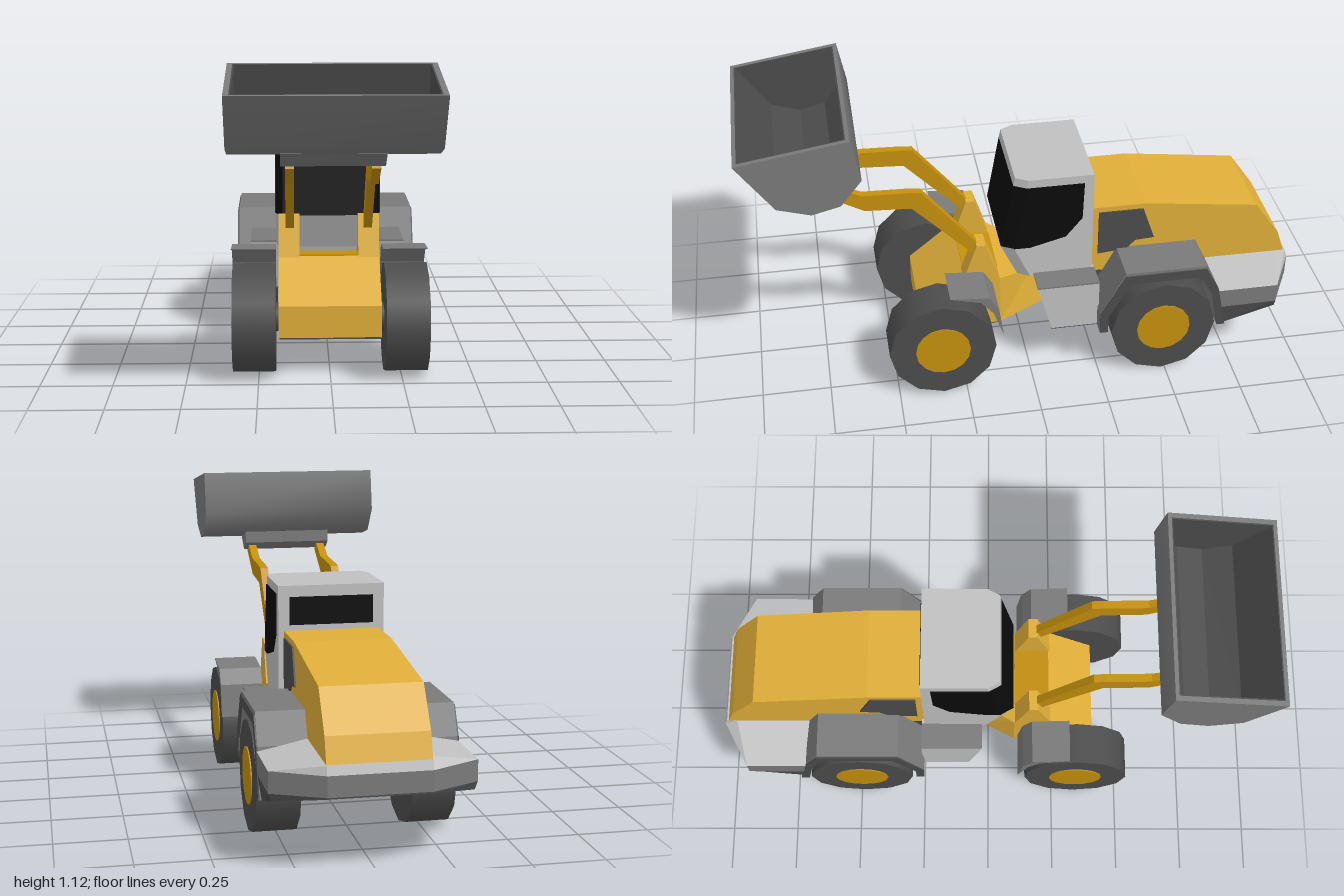
import * as THREE from 'three';
import { toCreasedNormals } from 'three/addons/utils/BufferGeometryUtils.js';

const paint = (name, color) => {
  const m = new THREE.MeshStandardMaterial({ color });
  m.name = name;
  return m;
};

export function createModel() {
  const model = new THREE.Group();
  model.name = 'earthMover';
  const yellow = paint('yellow', 0xdfae38), gold = paint('darkGold', 0xc4900c);
  const light = paint('lightGrey', 0xc0c0c0), grey = paint('midGrey', 0x7a7a7a);
  const dark = paint('darkGrey', 0x4c4c4c), glass = paint('blackGlass', 0x0b0b0b);

  const add = (name, geo, mat) => {
    const mesh = new THREE.Mesh(geo, mat);
    mesh.name = name;
    model.add(mesh);
    return mesh;
  };

  // Side profile of [z, y] points extruded from x0 to x1
  const prismGeo = (pts, x0, x1) => {
    const shape = new THREE.Shape(pts.map(([z, y]) => new THREE.Vector2(z, y)));
    const geo = new THREE.ExtrudeGeometry(shape, { depth: x1 - x0, bevelEnabled: false });
    return geo.rotateY(-Math.PI / 2).translate(x1, 0, 0);
  };
  const prism = (name, pts, x0, x1, mat) => add(name, prismGeo(pts, x0, x1), mat);
  const pair = (name, pts, x0, x1, mat) => {
    prism(name + 'Left', pts, x0, x1, mat);
    prism(name + 'Right', pts, -x1, -x0, mat);
  };

  // Closed skin over stacked rings (counter-clockwise from above), bottom first
  const loft = (name, rings, mats, pick) => {
    const pos = [], geo = new THREE.BufferGeometry(), n = rings[0].length;
    const face = (corners, index) => {
      const start = pos.length / 3;
      for (let k = 1; k < corners.length - 1; k++) pos.push(...corners[0], ...corners[k], ...corners[k + 1]);
      geo.addGroup(start, pos.length / 3 - start, index);
    };
    for (let i = 0; i < rings.length - 1; i++)
      for (let j = 0; j < n; j++) {
        const k = (j + 1) % n;
        face([rings[i][j], rings[i][k], rings[i + 1][k], rings[i + 1][j]], pick(i, j));
      }
    face([...rings[0]].reverse(), pick(0, 0));
    face(rings[rings.length - 1], pick(rings.length - 2, 0));
    geo.setAttribute('position', new THREE.Float32BufferAttribute(pos, 3));
    geo.computeVertexNormals();
    return add(name, geo, mats);
  };

  // Wheels, hubs and axles
  const drum = (r, len, sides) => new THREE.CylinderGeometry(r, r, len, sides).rotateZ(Math.PI / 2);
  for (const [end, z] of [['front', 0.335], ['rear', -0.485]]) {
    for (const [side, s] of [['Left', 1], ['Right', -1]]) {
      add(end + 'Tyre' + side, drum(0.195, 0.15, 12), dark).position.set(s * 0.265, 0.195, z);
      add(end + 'Hub' + side, drum(0.1, 0.006, 16), gold).position.set(s * 0.341, 0.195, z);
    }
    add(end + 'Axle', drum(0.05, 0.4, 10), dark).position.set(0, 0.195, z);
  }

  // Engine hood and its side grilles
  prism('hood', [[-0.24, 0.36], [-0.24, 0.64], [-0.44, 0.64], [-0.86, 0.585], [-0.955, 0.45],
    [-0.985, 0.36]], -0.17, 0.17, yellow);
  pair('grille', [[-0.265, 0.62], [-0.43, 0.62], [-0.475, 0.49], [-0.405, 0.485], [-0.37, 0.45],
    [-0.265, 0.44]], 0.17, 0.176, dark);

  // Rear chassis between the wheels
  prism('rearChassis', [[-0.2, 0.2], [-0.2, 0.4], [-0.72, 0.4], [-0.72, 0.18]], -0.168, 0.168, dark);

  // Rear bumper: dark underside, grey band, light sloping top
  const bumperRing = (w, wBack, zFront, zCorner, zBack, yFront, yCorner, yBack) => [
    [w, yFront, zFront], [w, yCorner, zCorner], [wBack, yBack, zBack],
    [-wBack, yBack, zBack], [-w, yCorner, zCorner], [-w, yFront, zFront]];
  loft('rearBumper', [
    bumperRing(0.33, 0.17, -0.72, -0.91, -1, 0.18, 0.235, 0.26),
    bumperRing(0.34, 0.17, -0.69, -0.91, -1, 0.26, 0.262, 0.265),
    bumperRing(0.34, 0.17, -0.675, -0.91, -1, 0.335, 0.335, 0.335),
    bumperRing(0.172, 0.17, -0.64, -0.95, -0.99, 0.367, 0.367, 0.365),
  ], [dark, grey, light], (level) => level);

  // Rear fenders arching over the wheels
  const arch = [[-0.245, 0.2], [-0.245, 0.28], [-0.335, 0.455], [-0.635, 0.455], [-0.685, 0.35], [-0.72, 0.18],
    [-0.69, 0.18], [-0.665, 0.32], [-0.615, 0.41], [-0.355, 0.41], [-0.275, 0.27], [-0.275, 0.2]];
  pair('rearFender', arch, 0.165, 0.337, grey);
  pair('rearFenderSide', arch.map(([z, y]) => [z, y > 0.45 ? 0.445 : y]), 0.337, 0.342, dark);

  // Cab with wraparound windscreen and chamfered front corners
  const cabRing = (y, zf) => [[0.19, y, zf - 0.045], [0.19, y, -0.24], [-0.19, y, -0.24],
    [-0.19, y, zf - 0.045], [-0.165, y, zf], [0.165, y, zf]];
  loft('cab', [cabRing(0.38, 0.035), cabRing(0.51, 0.095), cabRing(0.768, 0.048), cabRing(0.8, 0.042)],
    [light, glass], (level, side) => (level === 1 && side > 2 ? 1 : 0));
  pair('sideWindow', [[0.003, 0.768], [0.05, 0.51], [-0.01, 0.51], [-0.14, 0.545], [-0.2, 0.62],
    [-0.205, 0.768]], 0.188, 0.193, glass);
  add('rearWindow', new THREE.BoxGeometry(0.3, 0.1, 0.006), glass).position.set(0, 0.71, -0.241);

  // Cab base with side steps
  prism('cabBase', [[-0.022, 0.388], [-0.25, 0.388], [-0.25, 0.2], [-0.075, 0.2]], -0.285, 0.285, light);
  pair('stepTop', [[-0.022, 0.386], [-0.022, 0.392], [-0.25, 0.392], [-0.25, 0.386]], 0.19, 0.286, grey);
  prism('cabUnderside', [[-0.075, 0.196], [-0.075, 0.201], [-0.25, 0.201], [-0.25, 0.196]], -0.284, 0.284, dark);

  // Front frame with two lift towers
  prism('frontFrame', [[0.1, 0.175], [0.1, 0.375], [0.23, 0.39], [0.4, 0.25], [0.4, 0.136]], -0.18, 0.18, yellow);
  pair('liftTower', [[0.1, 0.37], [0.152, 0.53], [0.185, 0.53], [0.235, 0.386], [0.2, 0.36]], 0.105, 0.18, yellow);
  prism('towerFloor', [[0.1, 0.374], [0.1, 0.38], [0.23, 0.395], [0.23, 0.389]], -0.105, 0.105, gold);
  prism('frontUnderside', [[0.1, 0.17], [0.1, 0.176], [0.4, 0.137], [0.4, 0.131]], -0.178, 0.178, dark);

  // Tapering steering joint behind the front frame
  const jointRing = (y0, y1, zb) => [[0.18, y0, 0.1], [0.09, y1, zb], [-0.09, y1, zb], [-0.18, y0, 0.1]];
  loft('steeringJoint', [jointRing(0.175, 0.18, -0.075), jointRing(0.375, 0.335, -0.03)], [yellow], () => 0);

  // Front fenders
  pair('frontFender', [[0.305, 0.432], [0.165, 0.42], [0.13, 0.365], [0.113, 0.245], [0.15, 0.35],
    [0.195, 0.403]], 0.19, 0.348, grey);

  // Lift arms
  pair('liftArm', [[0.165, 0.51], [0.375, 0.768], [0.415, 0.772], [0.58, 0.777], [0.685, 0.825],
    [0.71, 0.79], [0.575, 0.714], [0.41, 0.705], [0.2, 0.487]], 0.125, 0.155, gold);

  // Bucket: outer shell, dark liner and end plates
  const bowl = [[1, 1.06], [0.875, 0.88], [0.76, 0.845], [0.66, 0.87], [0.585, 0.965], [0.615, 1.12]];
  const inset = (s) => bowl.map(([z, y]) => [0.8075 + (z - 0.8075) * s, 1.09 + (y - 1.09) * s]);
  const wall = (a, b) => [...inset(a), ...inset(b).reverse()];
  add('bucketShell', toCreasedNormals(prismGeo(wall(1, 0.93), -0.34, 0.34), 0.95), grey);
  prism('bucketLiner', wall(0.931, 0.91), -0.322, 0.322, dark);
  pair('bucketEnd', inset(0.95), 0.322, 0.34, grey);
  pair('bucketEndLiner', inset(0.93), 0.317, 0.322, dark);
  prism('bucketBracket', [[0.78, 0.85], [0.705, 0.797], [0.68, 0.81], [0.655, 0.83], [0.655, 0.875], [0.7, 0.87]],
    -0.17, 0.17, grey);

  return model;
}
